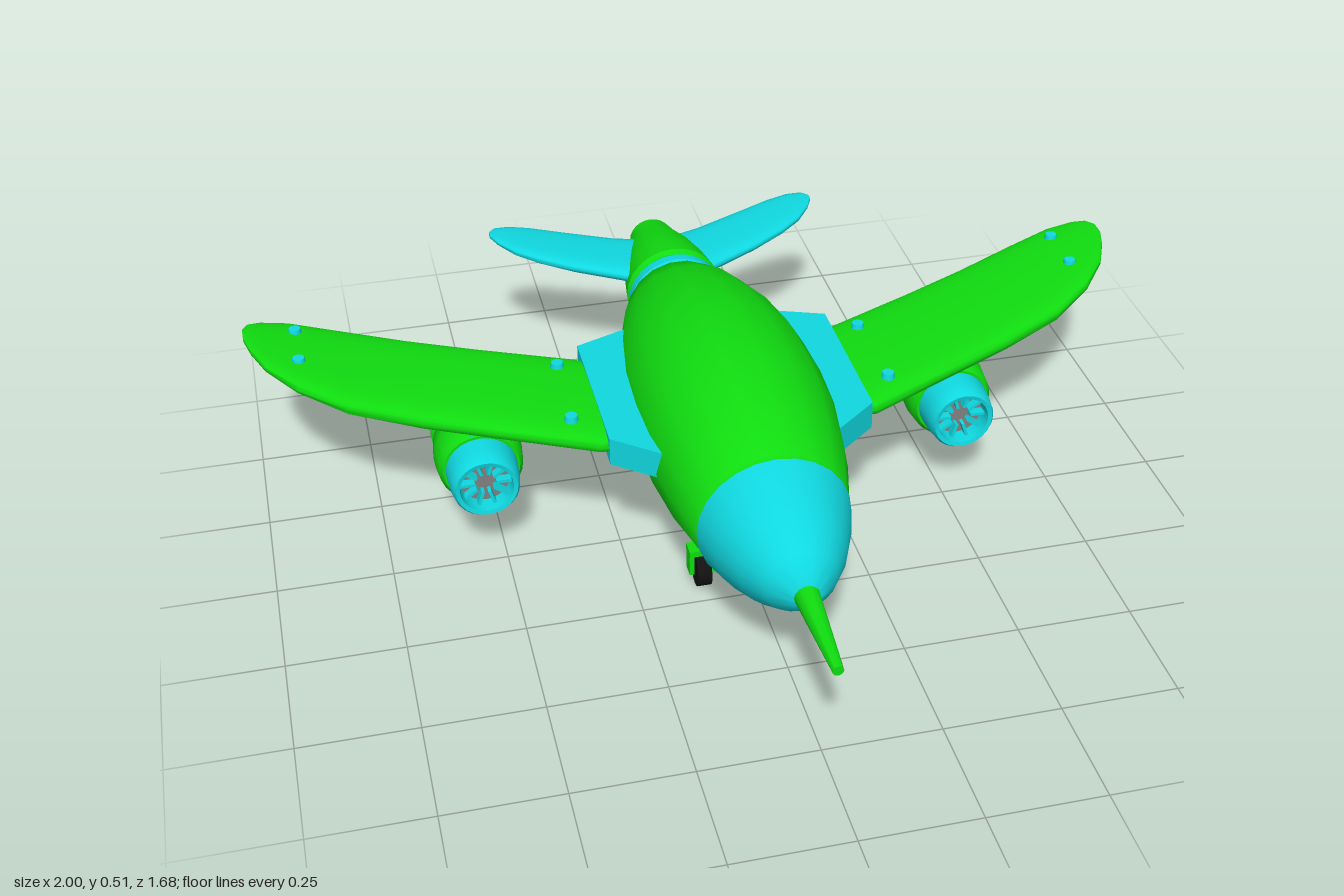
import * as THREE from 'three';
import { toCreasedNormals } from 'three/addons/utils/BufferGeometryUtils.js';

const paint = (name, color) => {
  const m = new THREE.MeshStandardMaterial({ color });
  m.name = name;
  return m;
};

// Skin a list of closed rings (each an array of [x, y, z]) and cap both ends.
function loft(rings, flip = false) {
  const n = rings[0].length, pos = rings.flat(2), idx = [];
  const tri = (a, b, c) => (flip ? idx.push(a, c, b) : idx.push(a, b, c));
  for (let i = 0; i < rings.length - 1; i++) {
    for (let j = 0; j < n; j++) {
      const a = i * n + j, b = i * n + (j + 1) % n;
      tri(a, b, b + n);
      tri(a, b + n, a + n);
    }
  }
  const last = (rings.length - 1) * n;
  for (let j = 1; j < n - 1; j++) {
    tri(0, j + 1, j);
    tri(last, last + j, last + j + 1);
  }
  const g = new THREE.BufferGeometry();
  g.setAttribute('position', new THREE.Float32BufferAttribute(pos, 3));
  g.setIndex(idx);
  return toCreasedNormals(g, 0.8);
}

// Body along z from rows of [z, bottom y, top y], rear to front.
function body(rows, sides = 18) {
  return loft(rows.map(([z, lo, hi]) => Array.from({ length: sides }, (_, k) => {
    const a = (k / sides) * Math.PI * 2, r = (hi - lo) / 2;
    return [r * 1.03 * Math.cos(a), (hi + lo) / 2 + r * Math.sin(a), z];
  })));
}

// Wing-like blade from rows of [x, front z, back z, centre y, half thickness].
function blade(rows, side) {
  const soft = (v) => Math.sign(v) * Math.abs(v) ** 0.65;
  return loft(rows.map(([x, zf, zb, y, t]) => Array.from({ length: 28 }, (_, k) => {
    const a = (k / 28) * Math.PI * 2;
    return [side * x, y + t * soft(Math.cos(a)), (zf + zb) / 2 + ((zf - zb) / 2) * soft(Math.sin(a))];
  })), side < 0);
}

// Turned part along z from [radius, z] points, rear to front.
function turned(points, sides = 24) {
  const g = new THREE.LatheGeometry(points.map(([r, z]) => new THREE.Vector2(r, z)), sides);
  return toCreasedNormals(g.rotateX(Math.PI / 2), 0.6);
}

export function createModel() {
  const green = paint('green', 0x10dc10);
  const cyan = paint('cyan', 0x10d8e0);
  const black = paint('black', 0x121212);
  const grey = paint('grey', 0x808080);
  const model = new THREE.Group();
  model.name = 'airplane';

  const add = (parent, name, geo, mat, x = 0, y = 0, z = 0) => {
    const m = new THREE.Mesh(geo, mat);
    m.name = name;
    m.position.set(x, y, z);
    parent.add(m);
    return m;
  };
  const box = (w, h, d) => new THREE.BoxGeometry(w, h, d);

  // Fuselage, nose and spike
  add(model, 'fuselage', body([
    [-0.51, 0.175, 0.385], [-0.5, 0.161, 0.398], [-0.4, 0.141, 0.444], [-0.26, 0.114, 0.486],
    [-0.125, 0.102, 0.51], [0, 0.1, 0.516], [0.12, 0.102, 0.51], [0.25, 0.112, 0.485],
    [0.365, 0.13, 0.445], [0.376, 0.142, 0.432],
  ]), green);
  add(model, 'noseCone', body([
    [0.37, 0.14, 0.432], [0.38, 0.129, 0.443], [0.45, 0.15, 0.424], [0.52, 0.18, 0.397],
    [0.58, 0.217, 0.363], [0.625, 0.262, 0.318],
  ], 24), cyan);
  add(model, 'noseSpike', body([[0.6, 0.263, 0.317], [0.84, 0.272, 0.294]], 14), green);

  // Tail collar and hollow tail cone
  add(model, 'tailCollar', turned([
    [0, -0.555], [0.1, -0.55], [0.112, -0.54], [0.114, -0.515], [0.1, -0.503], [0, -0.5],
  ]), cyan, 0, 0.281, 0);
  add(model, 'tailCone', turned([
    [0, -0.785], [0.034, -0.785], [0.036, -0.82], [0.052, -0.82], [0.064, -0.77], [0.086, -0.7],
    [0.104, -0.62], [0.112, -0.562], [0.104, -0.55], [0, -0.55],
  ]), green, 0, 0.284, 0);

  // Outline of the wing root fairing, x against z
  const root = [[0.1, -0.31], [0.18, -0.295], [0.285, -0.255], [0.285, 0.115], [0.18, 0.2], [0.1, 0.24]];

  for (const s of [1, -1]) {
    const half = new THREE.Group();
    half.name = s > 0 ? 'leftSide' : 'rightSide';
    model.add(half);

    const shape = new THREE.Shape(root.map(([x, z]) => new THREE.Vector2(s * x, -z)));
    const fairing = new THREE.ExtrudeGeometry(shape, { depth: 0.064, bevelEnabled: false });
    add(half, 'wingRoot', fairing.rotateX(-Math.PI / 2), cyan, 0, 0.295, 0);

    add(half, 'wing', blade([
      [0.27, 0.105, -0.215, 0.33, 0.026], [0.3, 0.105, -0.233, 0.33, 0.028],
      [0.5, 0.008, -0.32, 0.332, 0.028], [0.65, -0.06, -0.385, 0.337, 0.028],
      [0.8, -0.132, -0.448, 0.35, 0.026], [0.9, -0.207, -0.474, 0.37, 0.021],
      [0.96, -0.28, -0.47, 0.385, 0.015], [0.987, -0.34, -0.455, 0.394, 0.011],
      [1, -0.385, -0.43, 0.4, 0.005],
    ], s), green);

    // Studs on the wing
    for (const [x, y, z] of [[0.888, 0.385, -0.417], [0.888, 0.385, -0.295], [0.342, 0.357, -0.187], [0.348, 0.357, 0.022]]) {
      add(half, 'wingStud', new THREE.CylinderGeometry(0.013, 0.017, 0.022, 14), cyan, s * x, y, z);
    }

    add(half, 'tailFin', blade([
      [0.04, -0.57, -0.755, 0.312, 0.02], [0.107, -0.592, -0.775, 0.314, 0.019],
      [0.22, -0.64, -0.812, 0.326, 0.017], [0.3, -0.68, -0.834, 0.338, 0.015],
      [0.35, -0.715, -0.84, 0.346, 0.012], [0.385, -0.76, -0.832, 0.352, 0.008],
      [0.4, -0.79, -0.812, 0.355, 0.004],
    ], s), cyan);

    // Engine under the wing
    const engine = new THREE.Group();
    engine.name = 'engine';
    engine.position.set(s * 0.535, 0.2, 0);
    half.add(engine);
    add(engine, 'pylon', box(0.04, 0.06, 0.14), cyan, 0, 0.105, -0.14);
    add(engine, 'intake', turned([
      [0, -0.09], [0.079, -0.09], [0.077, -0.03], [0.072, 0.005], [0.067, 0.012], [0.058, 0.01],
      [0.054, -0.035], [0, -0.035],
    ]), cyan);
    add(engine, 'frontCowl', turned([
      [0, -0.19], [0.085, -0.19], [0.092, -0.18], [0.097, -0.13], [0.092, -0.078], [0.084, -0.067], [0, -0.067],
    ]), green);
    add(engine, 'cowlBand', turned([[0, -0.22], [0.084, -0.22], [0.084, -0.18], [0, -0.18]]), cyan);
    add(engine, 'rearCowl', turned([
      [0, -0.302], [0.077, -0.302], [0.085, -0.292], [0.092, -0.218], [0.085, -0.208], [0, -0.208],
    ]), green);
    add(engine, 'nozzle', turned([
      [0, -0.34], [0.042, -0.34], [0.044, -0.358], [0.054, -0.358], [0.072, -0.31], [0.072, -0.295], [0, -0.295],
    ]), cyan);
    add(engine, 'exhaustDisc', turned([[0, -0.346], [0.042, -0.346], [0.042, -0.338], [0, -0.338]]), grey);
    add(engine, 'intakeDisc', turned([[0, -0.036], [0.055, -0.036], [0.055, -0.028], [0, -0.028]]), grey);
    for (let k = 0; k < 10; k++) {
      const a = (k / 10) * Math.PI * 2;
      const fan = add(engine, 'fanBlade', box(0.034, 0.007, 0.02), cyan, 0.04 * Math.cos(a), 0.04 * Math.sin(a), -0.018);
      fan.rotation.z = a;
    }
  }

  // Landing gear: two wheels in front, one behind
  const gear = (name, x, y, z, strutColor) => {
    const g = new THREE.Group();
    g.name = name;
    g.position.set(x, y, z);
    model.add(g);
    const wheel = new THREE.CylinderGeometry(0.04, 0.04, 0.03, 20).rotateZ(Math.PI / 2);
    add(g, 'wheel', wheel, black);
    for (const s of [1, -1]) add(g, 'forkArm', box(0.01, 0.06, 0.032), green, s * 0.024, 0.025, 0);
    add(g, 'forkTop', box(0.058, 0.014, 0.036), green, 0, 0.05, 0);
    add(g, 'strut', new THREE.CylinderGeometry(0.011, 0.011, 0.08, 12), strutColor, 0, 0.09, 0);
  };
  gear('frontGearLeft', 0.108, 0.042, 0.185, cyan);
  gear('frontGearRight', -0.108, 0.042, 0.185, cyan);
  gear('rearGear', 0, 0.06, -0.295, green);

  // Rest the wheels on the ground
  model.position.y = -0.002;
  return model;
}
